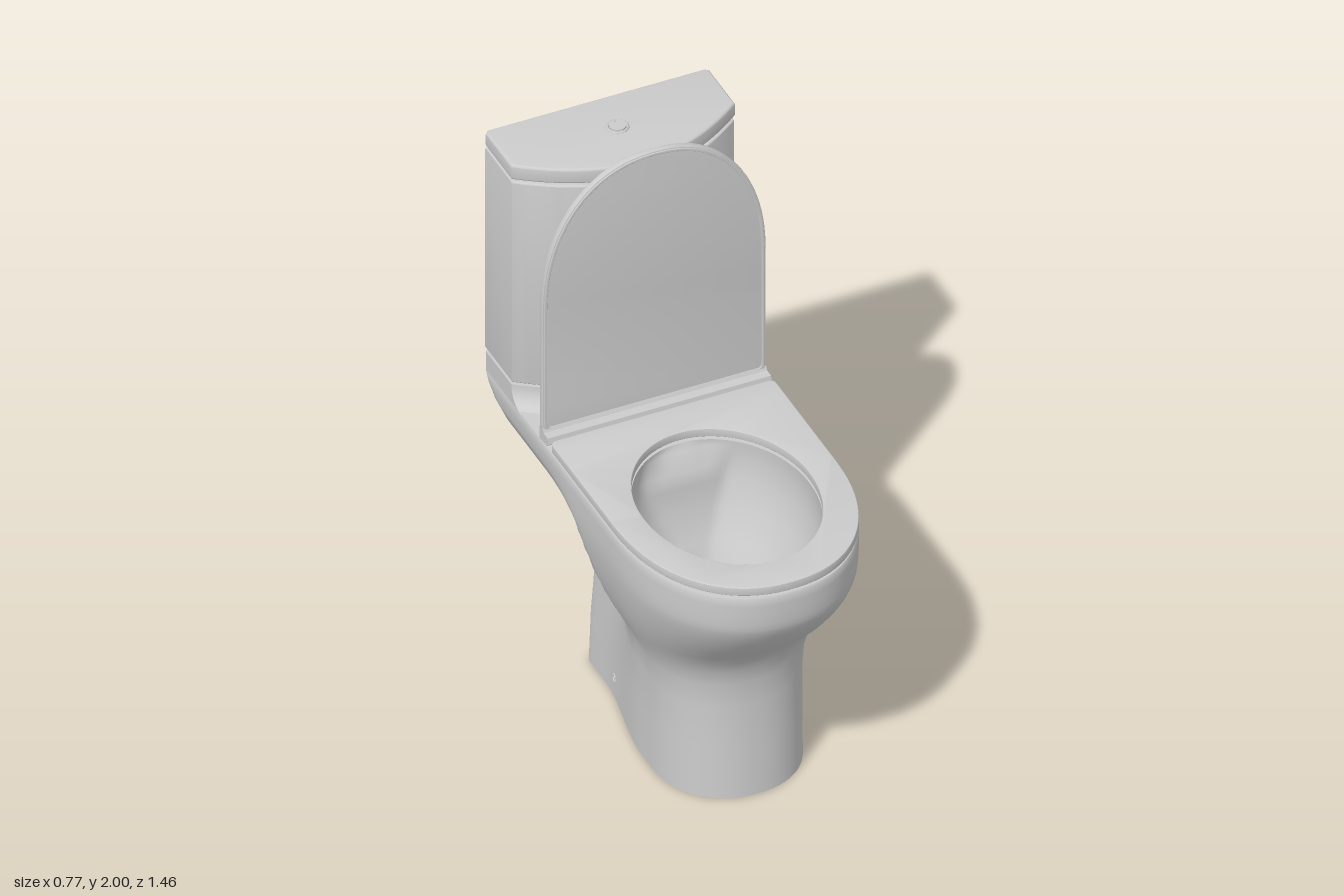
import * as THREE from 'three';
import { toCreasedNormals } from 'three/addons/utils/BufferGeometryUtils.js';

const { lerp, clamp, smoothstep } = THREE.MathUtils;
const material = new THREE.MeshStandardMaterial({ color: 0xcccccc, side: THREE.DoubleSide });

function part(name, geometry, crease = 0.3) {
  const mesh = new THREE.Mesh(toCreasedNormals(geometry, crease), material);
  mesh.name = name;
  return mesh;
}

// Skin closed rings of [x, y, z] points, all with the same count
function loft(rings) {
  const n = rings[0].length, index = [];
  for (let j = 0; j < rings.length - 1; j++) {
    for (let i = 0; i < n; i++) {
      const k = (i + 1) % n, a = j * n + i, b = j * n + k, c = b + n, d = a + n;
      index.push(a, b, c, a, c, d);
    }
  }
  const g = new THREE.BufferGeometry();
  g.setAttribute('position', new THREE.Float32BufferAttribute(rings.flat(2), 3));
  g.setIndex(index);
  return g;
}

const at = (pts, y) => pts.map(([x, z]) => [x, y, z]);
const mirrored = half => [...half, ...half.slice(1, -1).reverse().map(([x, z]) => [-x, z])];

// Plan outline: full rounded front, sides easing from wf to wb around z = mid, rounded back corners
function planOutline(zf, zc, zb, wf, wb = wf, r = 0.02, mid = -0.1, spread = 0.1) {
  const half = [], power = 2 / 2.2;
  for (let i = 0; i < 28; i++) {
    const t = i / 28 * Math.PI / 2;
    half.push([wf * Math.sin(t) ** power, zc + (zf - zc) * Math.cos(t) ** power]);
  }
  for (let i = 0; i < 28; i++) {
    const z = zc + (zb + r - zc) * i / 28;
    half.push([lerp(wb, wf, smoothstep(z, mid - spread, mid + spread)), z]);
  }
  for (let i = 0; i <= 6; i++) {
    const t = i / 6 * Math.PI / 2;
    half.push([wb - r + r * Math.cos(t), zb + r - r * Math.sin(t)]);
  }
  half.push([wb * 0.45, zb], [0, zb]);
  return mirrored(half);
}

// Egg-shaped outline for the seat opening and the basin, cut straight behind z = cut
function egg(w, zf, zc, zb, cut = zb) {
  return Array.from({ length: 96 }, (_, i) => {
    const t = i / 96 * Math.PI * 2, c = Math.cos(t);
    return [w * Math.sin(t), Math.max(cut, zc + c * (c > 0 ? zf - zc : zc - zb))];
  });
}

// Cistern outline: bowed front, flat sides and back
function cisternOutline(w, offset = 0) {
  const half = [];
  for (let i = 0; i <= 16; i++) half.push([w * i / 16, -0.53 + 0.152 * (1 - (i / 16) ** 2) + offset]);
  half.push([w, -0.718], [w - 0.012, -0.73], [0, -0.73]);
  return mirrored(half);
}

const toShape = (pts, hole) => {
  const shape = new THREE.Shape(pts.map(([x, z]) => new THREE.Vector2(x, -z)));
  if (hole) shape.holes.push(new THREE.Path(hole.map(([x, z]) => new THREE.Vector2(x, -z))));
  return shape;
};

// Horizontal slab between y0 and y1 with softened edges
function slab(pts, y0, y1, bevel, hole) {
  const g = new THREE.ExtrudeGeometry(toShape(pts, hole), {
    depth: y1 - y0 - 2 * bevel, bevelThickness: bevel, bevelSize: bevel,
    bevelOffset: -bevel, bevelSegments: 4,
  });
  return g.rotateX(-Math.PI / 2).translate(0, y0 + bevel, 0);
}

const flat = (pts, y, hole) => new THREE.ShapeGeometry(toShape(pts, hole)).rotateX(-Math.PI / 2).translate(0, y, 0);

function makePan() {
  const pan = new THREE.Group();
  pan.name = 'pan';

  // Pedestal, bowl and rear shelf: y, front z, arc start z, back z, bowl half width, neck half width, corner radius
  const rows = [
    [0, 0.47, 0.2, -0.395, 0.245, 0.19, 0.025],
    [0.2, 0.462, 0.2, -0.39, 0.245, 0.187, 0.03],
    [0.35, 0.455, 0.2, -0.385, 0.247, 0.182, 0.04],
    [0.44, 0.457, 0.19, -0.38, 0.258, 0.178, 0.05],
    [0.5, 0.47, 0.18, -0.38, 0.28, 0.174, 0.05],
    [0.55, 0.495, 0.18, -0.383, 0.303, 0.17, 0.05],
    [0.6, 0.535, 0.18, -0.39, 0.325, 0.168, 0.05],
    [0.67, 0.605, 0.19, -0.407, 0.35, 0.172, 0.05],
    [0.74, 0.665, 0.2, -0.437, 0.367, 0.19, 0.06],
    [0.79, 0.7, 0.21, -0.472, 0.377, 0.225, 0.07],
    [0.825, 0.718, 0.22, -0.52, 0.382, 0.28, 0.08],
    [0.843, 0.724, 0.22, -0.59, 0.384, 0.35, 0.08],
    [0.865, 0.727, 0.22, -0.655, 0.386, 0.374, 0.07],
    [0.9, 0.729, 0.22, -0.697, 0.387, 0.383, 0.05],
    [0.94, 0.73, 0.22, -0.72, 0.387, 0.387, 0.03],
    [0.968, 0.73, 0.22, -0.73, 0.387, 0.387, 0.02],
    [0.975, 0.726, 0.22, -0.729, 0.384, 0.384, 0.02],
  ];
  const outlines = rows.map(([y, zf, zc, zb, wf, wb, r]) => {
    const u = clamp((y - 0.35) / 0.2, 0, 1);
    return planOutline(zf, zc, zb, wf, wb, r, lerp(-0.06, -0.04, u) - 0.4 * clamp(y - 0.5, 0, 0.34), lerp(0.2, 0.12, u));
  });
  pan.add(part('panBody', loft(outlines.map((o, i) => at(o, rows[i][0]))), 1.0));

  // Rim top and basin with a sloping shelf at its back
  const mouth = [0.285, 0.61, 0.24, -0.115];
  pan.add(part('panRim', flat(outlines.at(-1), 0.975, egg(...mouth))));
  const basin = [
    [0.975, ...mouth],
    [0.95, 0.287, 0.612, 0.24, -0.115, -0.105],
    [0.9, 0.287, 0.61, 0.24, -0.115, -0.06],
    [0.84, 0.278, 0.598, 0.24, -0.1, -0.058],
    [0.75, 0.25, 0.55, 0.22, -0.07, -0.045],
    [0.65, 0.19, 0.46, 0.2, -0.02, -0.01],
    [0.57, 0.135, 0.345, 0.17, 0.03],
    [0.53, 0.112, 0.29, 0.16, 0.04],
    [0.45, 0.105, 0.27, 0.15, 0.04],
    [0.39, 0.07, 0.21, 0.15, 0.07],
    [0.375, 0.001, 0.151, 0.15, 0.149],
  ];
  pan.add(part('basin', loft(basin.map(([y, ...e]) => at(egg(...e), y))), 1.0));

  // Raised ledge under the cistern, with a hollow fillet at its front
  const ledge = Array.from({ length: 9 }, (_, i) => {
    const t = i / 8 * Math.PI / 2;
    return at(cisternOutline(0.386, 0.07 * (1 - Math.sin(t))), 1.045 - 0.072 * Math.cos(t));
  });
  pan.add(part('cisternLedge', loft(ledge)));
  pan.add(part('ledgeTop', flat(cisternOutline(0.386), 1.045)));

  // Outlet spigot at the back, flared where it meets the pedestal
  const profile = [[0.128, 0.37], [0.113, 0.388], [0.106, 0.405], [0.105, 0.425], [0.109, 0.435], [0.109, 0.485], [0.106, 0.49],
    [0.095, 0.49], [0.095, 0.4], [0, 0.4]].map(p => new THREE.Vector2(...p));
  pan.add(part('outlet', new THREE.LatheGeometry(profile, 40).rotateX(-Math.PI / 2).translate(0, 0.39, 0), 0.7));

  // Floor fixing holes
  for (const side of [-1, 1]) {
    const hole = part('fixingHole', new THREE.TorusGeometry(0.013, 0.003, 8, 20).rotateY(Math.PI / 2), 1);
    hole.position.set(side * 0.197, 0.075, -0.17);
    hole.rotation.y = side * 0.15;
    pan.add(hole);
  }
  return pan;
}

function makeSeat() {
  const seat = new THREE.Group();
  seat.name = 'seat';
  seat.add(part('seatRing', slab(planOutline(0.73, 0.22, -0.242, 0.387), 0.985, 1.017, 0.004, egg(0.285, 0.61, 0.24, -0.115))));

  // Hinge bar, its profile run across the width
  const bar = new THREE.Shape([[0.255, 0.995], [0.265, 0.985], [0.32, 0.98], [0.32, 1.03], [0.296, 1.03], [0.29, 1.018], [0.26, 1.017]]
    .map(p => new THREE.Vector2(...p)));
  seat.add(part('hingeBar', new THREE.ExtrudeGeometry(bar, { depth: 0.772, bevelEnabled: false })
    .rotateY(Math.PI / 2).translate(-0.386, 0, 0)));

  // Raised lid: a panel stood upright with a thin border on its front
  const lidOutline = inset => planOutline(0.99 - inset, 0.47, inset, 0.387 - inset);
  const stand = g => g.rotateX(-Math.PI / 2).translate(0, 1.01, 0);
  seat.add(part('lidPanel', stand(slab(lidOutline(0), 0.298, 0.32, 0.005))));
  seat.add(part('lidBorder', stand(slab(lidOutline(0.006), 0.294, 0.302, 0.002, lidOutline(0.016)))));
  return seat;
}

function makeCistern() {
  const cistern = new THREE.Group();
  cistern.name = 'cistern';

  // Bowed wall, open at the back
  const outer = [], inner = [];
  for (let i = -16; i <= 16; i++) {
    const s = i / 16;
    outer.push([0.384 * s, -0.53 + 0.152 * (1 - s * s)]);
    inner.push([0.356 * s, -0.553 + 0.147 * (1 - s * s)]);
  }
  const wall = [[-0.384, -0.729], ...outer, [0.384, -0.729], [0.356, -0.729], ...inner.reverse(), [-0.356, -0.729]];
  cistern.add(part('cisternWall', slab(wall, 1.05, 1.842, 0.008)));

  // Lid and flush button
  cistern.add(part('cisternLid', slab(cisternOutline(0.387), 1.85, 1.908, 0.011)));
  const button = new THREE.Group();
  button.name = 'flushButton';
  button.position.set(0, 1.908, -0.57);
  button.add(part('buttonRing', new THREE.TorusGeometry(0.032, 0.005, 10, 36).rotateX(Math.PI / 2), 1));
  for (const side of [0, 1]) {
    const half = new THREE.CylinderGeometry(0.026, 0.026, 0.012, 20, 1, false, side * Math.PI, Math.PI);
    button.add(part('buttonHalf', half.translate(side ? -0.002 : 0.002, 0.002, 0)));
  }
  cistern.add(button);
  return cistern;
}

export function createModel() {
  const model = new THREE.Group();
  model.name = 'toilet';
  model.add(makePan(), makeSeat(), makeCistern());
  return model;
}
